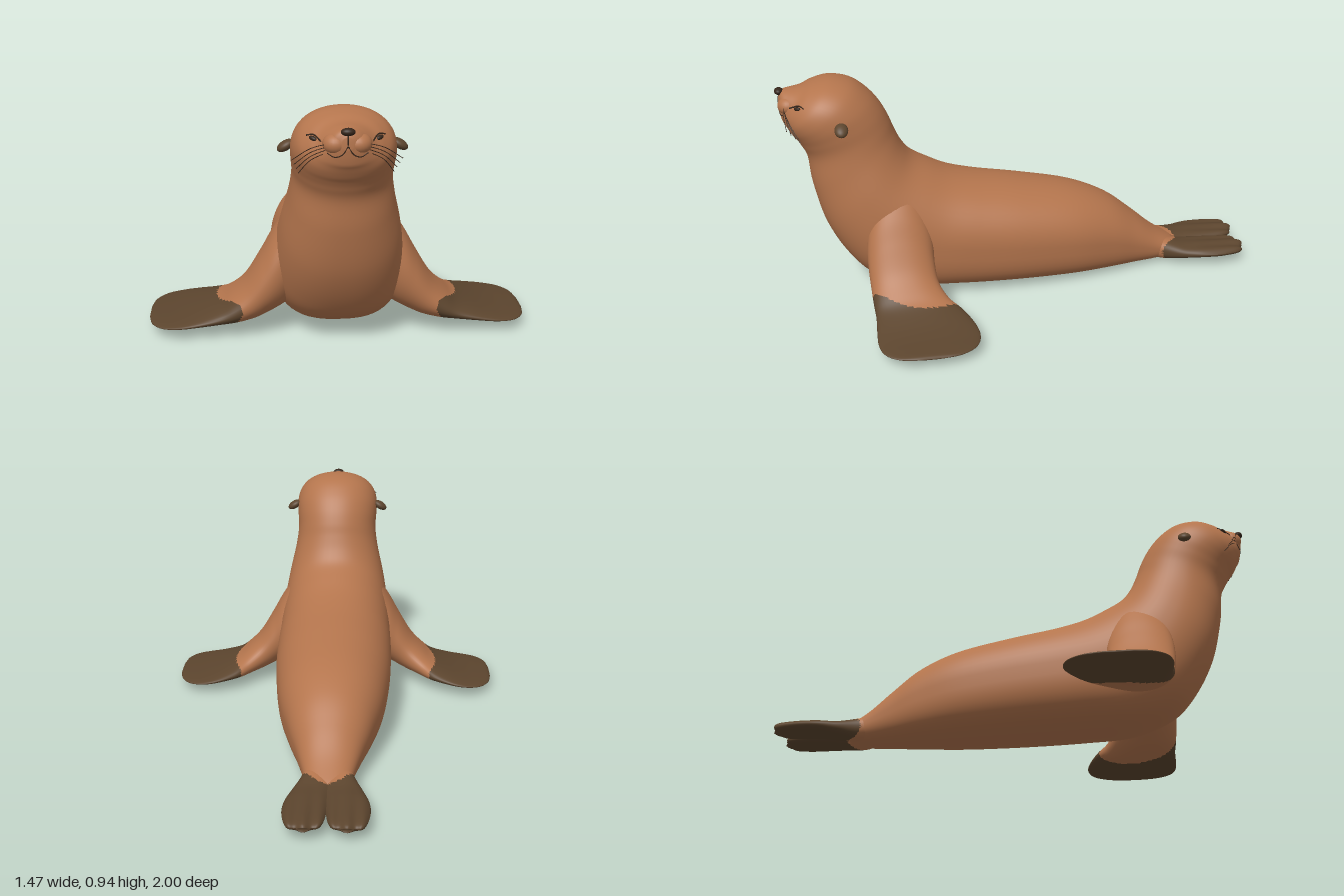
import * as THREE from 'three';

const material = (name, color) => {
  const m = new THREE.MeshStandardMaterial({ color });
  m.name = name;
  return m;
};
const V = (x, y, z) => new THREE.Vector3(x, y, z);

// Smooth closed skin through rings { top, bottom, side, n }; triangles whose
// centre passes isDark go to the second material group.
function loft(rings, steps, segs, isDark, warp) {
  const curve = pts => new THREE.CatmullRomCurve3(pts, false, 'catmullrom', 0.5);
  const tops = curve(rings.map(r => r.top));
  const bottoms = curve(rings.map(r => r.bottom));
  const sides = curve(rings.map(r => r.side));
  const powers = curve(rings.map(r => V(r.n, 0, 0)));
  const pts = [];
  for (let i = 0; i <= steps; i++) {
    const t = i / steps;
    const top = tops.getPoint(t), bottom = bottoms.getPoint(t);
    const side = sides.getPoint(t), n = powers.getPoint(t).x;
    const mid = top.clone().add(bottom).multiplyScalar(0.5);
    const up = top.clone().sub(mid);
    for (let j = 0; j < segs; j++) {
      const a = (j / segs) * Math.PI * 2, c = Math.cos(a), s = Math.sin(a);
      const e = 2 / (s < 0 ? n : 2.1);
      const p = mid.clone()
        .addScaledVector(side, Math.sign(c) * Math.abs(c) ** e)
        .addScaledVector(up, Math.sign(s) * Math.abs(s) ** e);
      if (warp) warp(p);
      pts.push(p);
    }
  }
  const tris = [];
  for (let i = 0; i < steps; i++) {
    for (let j = 0; j < segs; j++) {
      const k = (j + 1) % segs;
      const a = i * segs + j, b = i * segs + k, c = a + segs, d = b + segs;
      tris.push([a, b, d], [a, d, c]);
    }
  }
  // end caps
  [0, steps].forEach(i => {
    const centre = pts.length, middle = V(0, 0, 0);
    for (let j = 0; j < segs; j++) {
      const a = i * segs + j, b = i * segs + (j + 1) % segs;
      middle.addScaledVector(pts[a], 1 / segs);
      tris.push(i ? [a, b, centre] : [b, a, centre]);
    }
    pts.push(middle);
  });
  // turn the faces outward
  let volume = 0;
  const cross = V(0, 0, 0);
  tris.forEach(([a, b, c]) => { volume += pts[a].dot(cross.crossVectors(pts[b], pts[c])); });
  if (volume < 0) tris.forEach(t => t.reverse());

  const groups = [[], []];
  tris.forEach(t => {
    const centre = V(0, 0, 0);
    t.forEach(i => centre.addScaledVector(pts[i], 1 / 3));
    groups[isDark(centre) ? 1 : 0].push(...t);
  });
  const geo = new THREE.BufferGeometry().setFromPoints(pts);
  geo.setIndex(groups.flat());
  geo.addGroup(0, groups[0].length, 0);
  geo.addGroup(groups[0].length, groups[1].length, 1);
  geo.computeVertexNormals();
  return geo;
}

export function createModel() {
  const group = new THREE.Group();
  const fur = material('brown fur', 0xb4754d);
  const skin = material('dark flipper skin', 0x5c452e);
  const ink = material('facial dark', 0x35261b);
  const add = (name, geo, mat) => {
    const mesh = new THREE.Mesh(geo, mat);
    mesh.name = name;
    group.add(mesh);
    return mesh;
  };
  const ball = (name, mat, pos, scale) => {
    const mesh = add(name, new THREE.SphereGeometry(1, 24, 16), mat);
    mesh.position.copy(pos);
    mesh.scale.set(...scale);
    return mesh;
  };
  const tube = (name, pts, r) =>
    add(name, new THREE.TubeGeometry(new THREE.CatmullRomCurve3(pts), 16, r, 5), ink);

  // Body, neck and head: back z, back y, belly z, belly y, half width, belly squareness
  const tailDark = p => p.z < -0.615 - 0.09 * Math.max(0, 1 - (p.x / 0.11) ** 2);
  const body = add('body', loft([
    [-0.70, 0.08, -0.70, 0.025, 0.08, 2.2],
    [-0.60, 0.145, -0.62, 0.006, 0.10, 2.5],
    [-0.50, 0.23, -0.50, 0.003, 0.135, 2.8],
    [-0.38, 0.32, -0.38, 0.002, 0.177, 3],
    [-0.22, 0.385, -0.20, 0, 0.222, 3],
    [0.00, 0.43, 0.05, 0.003, 0.25, 3],
    [0.18, 0.462, 0.30, 0.01, 0.258, 3],
    [0.30, 0.495, 0.50, 0.022, 0.255, 2.9],
    [0.39, 0.538, 0.66, 0.08, 0.25, 2.6],
    [0.46, 0.58, 0.755, 0.175, 0.24, 2.4],
    [0.50, 0.63, 0.834, 0.32, 0.222, 2.3],
    [0.53, 0.695, 0.877, 0.49, 0.196, 2.2],
    [0.55, 0.75, 0.89, 0.61, 0.184, 2.1],
    [0.58, 0.81, 0.913, 0.665, 0.187, 2.1],
    [0.625, 0.868, 0.93, 0.695, 0.19, 2.1],
    [0.69, 0.918, 0.945, 0.715, 0.184, 2.1],
    [0.77, 0.937, 0.957, 0.735, 0.165, 2.1],
    [0.84, 0.927, 0.968, 0.755, 0.132, 2.1],
    [0.89, 0.908, 0.976, 0.768, 0.102, 2.1],
    [0.935, 0.902, 0.98, 0.78, 0.076, 2.1],
    [0.97, 0.895, 0.984, 0.80, 0.05, 2.1],
    [0.985, 0.87, 0.988, 0.83, 0.02, 2.1],
  ].map(([tz, ty, bz, by, w, n]) => ({
    top: V(0, ty, tz), bottom: V(0, by, bz), side: V(w, 0, 0), n,
  })), 126, 56, tailDark), [fur, skin]);

  const cheeks = [];
  for (const s of [1, -1]) {
    const sideName = s > 0 ? 'left' : 'right';

    // Front flipper: upper x, y, lower x, y, rear z, front z
    add(sideName + 'FrontFlipper', loft([
      [0.12, 0.55, 0.12, 0.14, 0.44, 0.65],
      [0.19, 0.49, 0.19, 0.12, 0.415, 0.665],
      [0.25, 0.405, 0.23, 0.10, 0.405, 0.675],
      [0.30, 0.315, 0.27, 0.08, 0.405, 0.675],
      [0.36, 0.215, 0.32, 0.058, 0.395, 0.67],
      [0.42, 0.152, 0.385, 0.042, 0.36, 0.665],
      [0.47, 0.115, 0.45, 0.036, 0.31, 0.66],
      [0.55, 0.085, 0.55, 0.033, 0.27, 0.662],
      [0.62, 0.068, 0.62, 0.033, 0.263, 0.66],
      [0.68, 0.06, 0.68, 0.034, 0.285, 0.64],
      [0.72, 0.055, 0.72, 0.037, 0.34, 0.59],
      [0.735, 0.048, 0.735, 0.043, 0.41, 0.52],
    ].map(([tx, ty, bx, by, z0, z1]) => ({
      top: V(s * tx, ty, (z0 + z1) / 2), bottom: V(s * bx, by, (z0 + z1) / 2),
      side: V(0, 0, (z1 - z0) / 2), n: 2.1,
    })), 88, 48, p => Math.abs(p.x) > 0.475 - 2.2 * (p.z - 0.45) ** 2), [fur, skin]);

    // Hind flipper: z, centre x, half width, top y, bottom y, with toe ridges
    add(sideName + 'HindFlipper', loft([
      [-0.56, 0.045, 0.04, 0.12, 0.03],
      [-0.64, 0.05, 0.058, 0.105, 0.012],
      [-0.72, 0.06, 0.078, 0.088, 0.022],
      [-0.80, 0.075, 0.085, 0.086, 0.032],
      [-0.88, 0.082, 0.084, 0.084, 0.035],
      [-0.95, 0.082, 0.073, 0.082, 0.037],
      [-0.985, 0.082, 0.052, 0.077, 0.041],
      [-1.0, 0.08, 0.025, 0.067, 0.05],
    ].map(([z, x, w, ty, by]) => ({
      top: V(s * x, ty, z), bottom: V(s * x, by, z), side: V(w, 0, 0), n: 2.3,
    })), 56, 48, tailDark, p => {
      const k = THREE.MathUtils.clamp((-0.7 - p.z) / 0.25, 0, 1);
      const ridge = Math.cos((Math.abs(p.x) - 0.08) * 2 * Math.PI / 0.06);
      if (p.y > 0.06) p.y += 0.004 * k * (ridge - 1);
      p.z += 0.006 * k * (1 - ridge);
    }), [fur, skin]);

    // Ear, drooping outward
    ball(sideName + 'Ear', skin, V(s * 0.205, 0.787, 0.745), [0.034, 0.018, 0.027])
      .rotation.z = -s * 0.55;

    // Whisker pad
    cheeks.push(ball(sideName + 'WhiskerPad', fur, V(s * 0.04, 0.842, 0.945), [0.046, 0.038, 0.045]));
  }
  ball('chin', fur, V(0, 0.796, 0.947), [0.045, 0.03, 0.036]);
  ball('nose', ink, V(0, 0.891, 0.982), [0.025, 0.014, 0.018]);

  // Find the face surface straight behind a point in the front plane
  group.updateMatrixWorld(true);
  const ray = new THREE.Raycaster();
  const onFace = (x, y) => {
    ray.set(V(x, y, 2), V(0, 0, -1));
    return ray.intersectObjects([body, ...cheeks])[0].point;
  };

  tube('muzzleCrease', [0.882, 0.865, 0.845].map(y => onFace(0, y)), 0.0025);
  for (const s of [1, -1]) {
    const sideName = s > 0 ? 'left' : 'right';
    // Narrow eye under a lid line
    const eye = onFace(s * 0.115, 0.853);
    ball(sideName + 'Eye', ink, eye, [0.017, 0.008, 0.009]).rotation.set(0, s * 0.75, s * 0.2);
    tube(sideName + 'Eyelid',
      [[0.088, 0.848], [0.112, 0.864], [0.136, 0.858]].map(([x, y]) => onFace(s * x, y)), 0.003);
    // Mouth line around the whisker pad
    tube(sideName + 'MouthLine',
      [[0, 0.842], [0.02, 0.812], [0.045, 0.803], [0.07, 0.815]].map(([x, y]) => onFace(s * x, y)), 0.0022);
    // Whiskers
    for (let i = 0; i < 4; i++) {
      tube(sideName + 'Whisker', [
        V(s * 0.06, 0.848 - i * 0.009, 0.965),
        V(s * 0.125, 0.832 - i * 0.016, 0.965 - i * 0.008),
        V(s * (0.19 - i * 0.008), 0.79 - i * 0.02, 0.955 - i * 0.016),
      ], 0.0014);
    }
  }
  return group;
}
